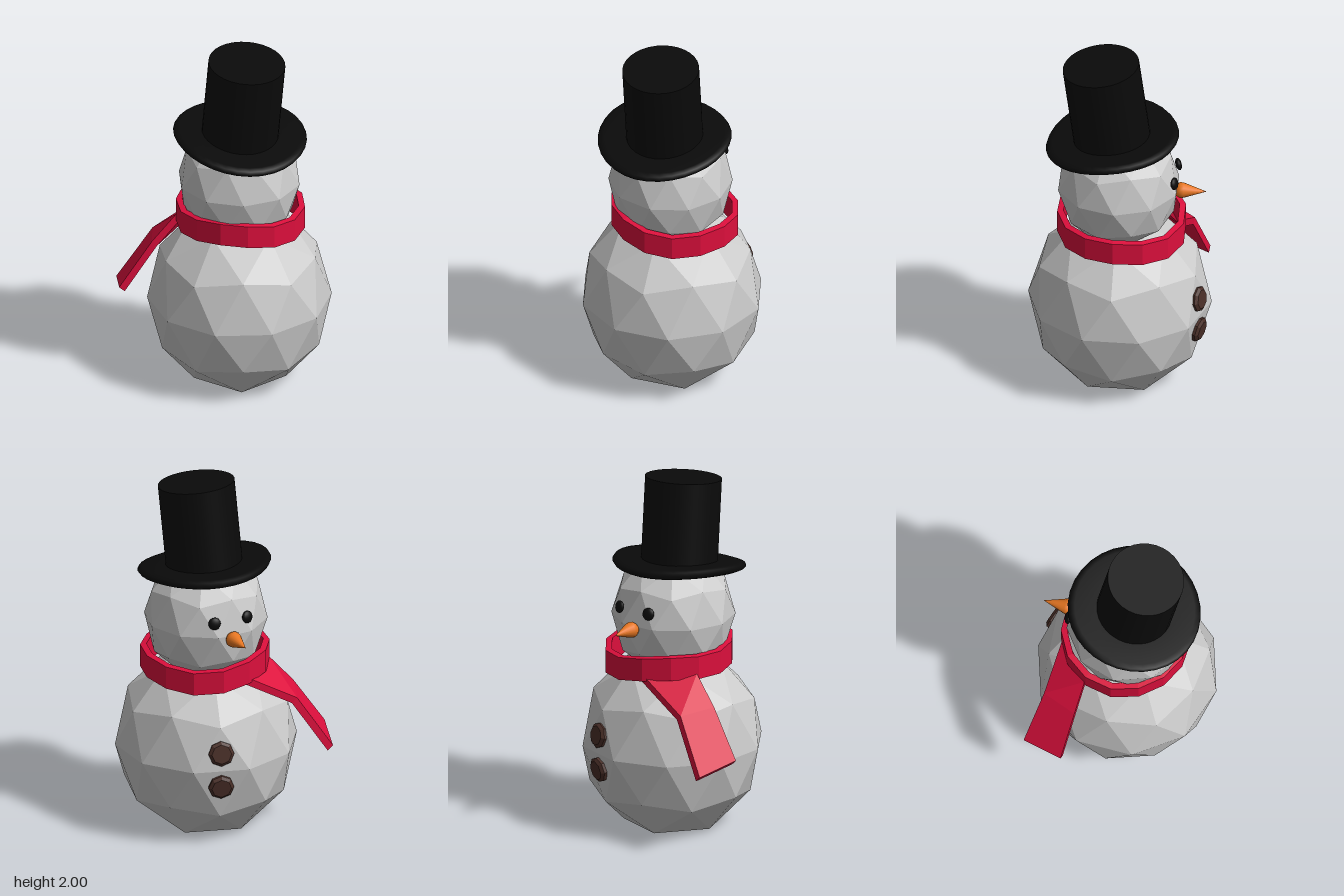
import * as THREE from 'three';

const mat = (color, flatShading = false) => new THREE.MeshStandardMaterial({ color, flatShading });
const snow = mat(0xcccccc, true), red = mat(0xdc0f3c, true), black = mat(0x0a0a0a);
const brown = mat(0x4a2f28, true), orange = mat(0xe87722);

function part(parent, name, geometry, material, x = 0, y = 0, z = 0) {
  const mesh = new THREE.Mesh(geometry, material);
  mesh.name = name;
  mesh.position.set(x, y, z);
  parent.add(mesh);
  return mesh;
}

// Faceted ball with a vertex on the y axis, cut flat at the floor height
function snowball(radius, stretch, floor) {
  const g = new THREE.IcosahedronGeometry(radius, 1);
  g.rotateZ(-Math.atan(2 / (1 + Math.sqrt(5))));
  g.scale(1, stretch, 1);
  const p = g.attributes.position;
  for (let i = 0; i < p.count; i++) p.setY(i, Math.max(p.getY(i), floor));
  g.computeVertexNormals();
  return g;
}

// Skin over four-cornered cross-sections
function loft(sections, closed) {
  const n = sections.length, pos = [];
  const tri = (...pts) => pts.forEach((v) => pos.push(...v));
  for (let i = 0; i < (closed ? n : n - 1); i++) {
    const s = sections[i], t = sections[(i + 1) % n];
    for (let j = 0; j < 4; j++) {
      const k = (j + 1) % 4;
      tri(s[j], s[k], t[k], s[j], t[k], t[j]);
    }
  }
  if (!closed) {
    const s = sections[0], e = sections[n - 1];
    tri(s[0], s[2], s[1], s[0], s[3], s[2]);
    tri(e[0], e[1], e[2], e[0], e[2], e[3]);
  }
  const g = new THREE.BufferGeometry();
  g.setAttribute('position', new THREE.Float32BufferAttribute(pos, 3));
  g.computeVertexNormals();
  return g;
}

// Lathe from [radius, height] pairs
const lathe = (pts, sides) =>
  new THREE.LatheGeometry(pts.map(([r, y]) => new THREE.Vector2(r, y)), sides);

function createHat() {
  const hat = new THREE.Group();
  hat.name = 'hat';
  hat.position.set(0.055, 1.49, 0.045);
  hat.rotation.set(0.125, 0, -0.04);
  part(hat, 'crown', new THREE.CylinderGeometry(0.213, 0.213, 0.485, 32), black, 0, 0.243, 0);
  // Brim, slightly curled up at the sides
  const brim = lathe([[0, -0.025], [0.2, -0.025], [0.335, -0.025], [0.36, -0.014], [0.371, 0.002],
    [0.362, 0.018], [0.335, 0.025], [0.2, 0.025], [0, 0.025]], 32);
  const p = brim.attributes.position;
  for (let i = 0; i < p.count; i++) {
    const x = p.getX(i), z = p.getZ(i);
    p.setY(i, p.getY(i) + 0.12 * (x * x - z * z));
  }
  part(hat, 'brim', brim, black);
  return hat;
}

function createScarf() {
  const scarf = new THREE.Group();
  scarf.name = 'scarf';
  // Neck band, sagging a little to one side
  const band = [];
  for (let i = 0; i < 14; i++) {
    const a = (i / 14) * Math.PI * 2, c = Math.cos(a), s = Math.sin(a);
    const y = 0.985 - 0.02 * c + 0.015 * s + 0.012 * Math.cos(3 * a);
    const r = 0.358 + 0.012 * (c - s);
    const at = (radius, h) => [0.07 + radius * c, y + h, radius * s];
    band.push([at(r, -0.065), at(r, 0.065), at(r - 0.035, 0.07), at(r - 0.035, -0.07)]);
  }
  part(scarf, 'neckBand', loft(band, true), red);
  // Hanging end, given by its two upper edges
  const edges = [
    [[-0.24, 0.96, -0.16], [-0.02, 0.94, -0.345]],
    [[-0.38, 0.8, -0.18], [-0.3, 0.78, -0.375]],
    [[-0.56, 0.535, -0.21], [-0.49, 0.48, -0.44]],
  ];
  const under = ([x, y, z]) => [x + 0.03, y - 0.028, z + 0.005];
  part(scarf, 'hangingEnd', loft(edges.map(([r, l]) => [r, l, under(l), under(r)]), false), red);
  return scarf;
}

export function createModel() {
  const snowman = new THREE.Group();
  snowman.name = 'snowman';

  // Snowballs
  part(snowman, 'body', snowball(0.51, 1.08, -0.475), snow, 0.07, 0.475, 0);
  part(snowman, 'head', snowball(0.343, 1.08, -0.3), snow, 0.066, 1.21, 0.008).rotation.y = -0.29;

  snowman.add(createScarf(), createHat());

  // Nose with a rounded base
  const nose = lathe([[0, -0.03], [0.032, -0.025], [0.045, 0], [0.042, 0.02], [0, 0.145]], 16);
  part(snowman, 'nose', nose, orange, 0.08, 1.195, -0.337).rotation.x = -Math.PI / 2;

  // Eyes
  for (const [x, yaw] of [[-0.02, 0.25], [0.185, -0.3]]) {
    const eye = part(snowman, 'eye', new THREE.SphereGeometry(0.035, 16, 10), black, x, 1.3, -0.315);
    eye.scale.z = 0.5;
    eye.rotation.set(0.2, yaw, 0, 'YXZ');
  }

  // Buttons
  for (const [y, tilt] of [[0.58, 0.15], [0.38, -0.15]]) {
    const g = lathe([[0, -0.02], [0.07, -0.02], [0.072, 0.004], [0.055, 0.018], [0, 0.018]], 8);
    g.rotateX(-Math.PI / 2);
    part(snowman, 'button', g, brown, 0.22, y, -0.458).rotation.set(tilt, -0.33, 0, 'YXZ');
  }
  return snowman;
}
